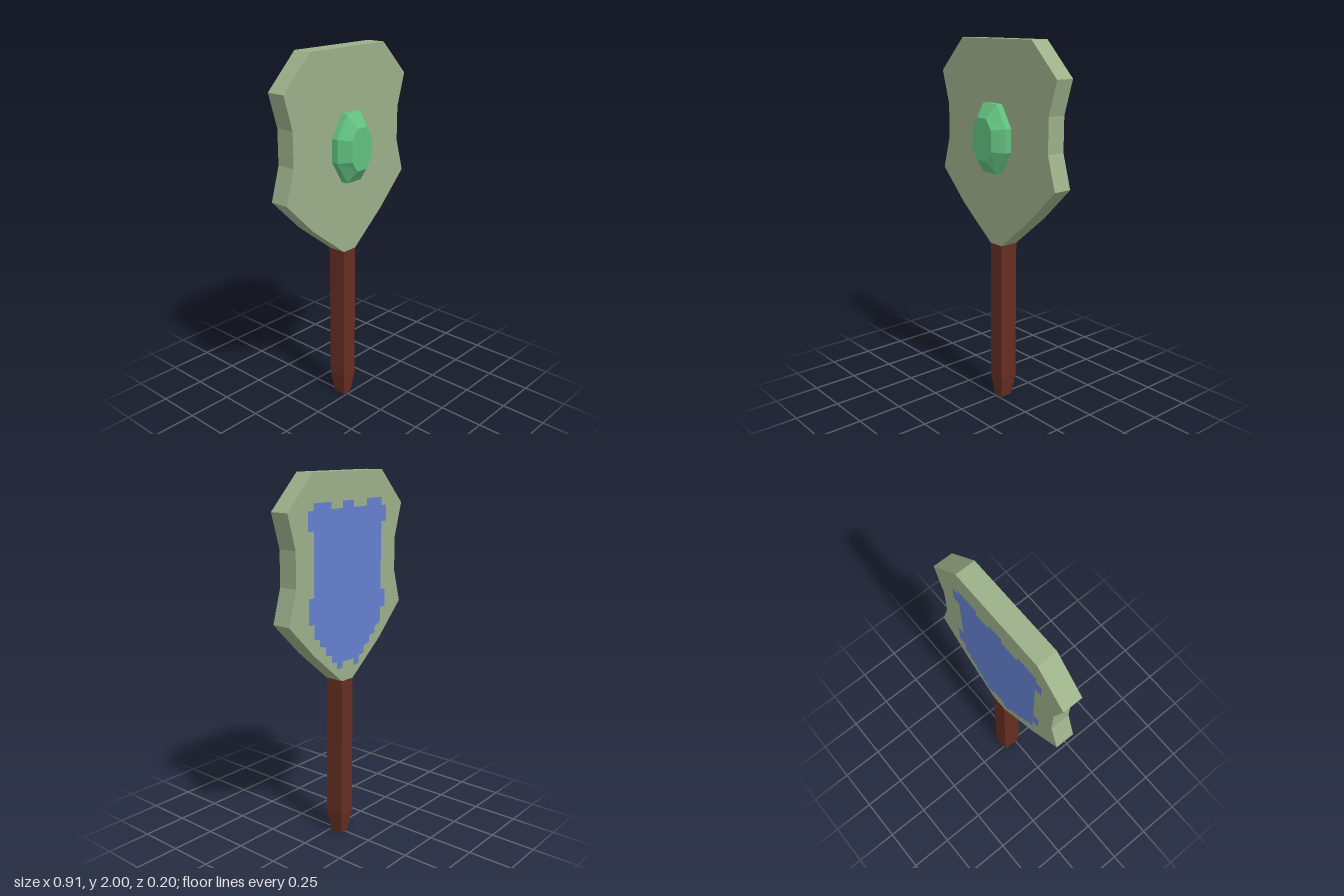
import * as THREE from 'three';

const material = (name, color, extra = {}) => {
  const m = new THREE.MeshStandardMaterial({ color, flatShading: true, ...extra });
  m.name = name;
  return m;
};

// Skin a stack of rings (counter-clockwise seen from the last ring) and cap both ends.
function loft(rings) {
  const n = rings[0].length;
  const index = [];
  for (let r = 0; r < rings.length - 1; r++) {
    for (let i = 0; i < n; i++) {
      const j = (i + 1) % n;
      const a = r * n + i, b = r * n + j;
      index.push(a, b, b + n, a, b + n, a + n);
    }
  }
  const top = (rings.length - 1) * n;
  for (let i = 1; i < n - 1; i++) {
    index.push(0, i + 1, i, top, top + i, top + i + 1);
  }
  const g = new THREE.BufferGeometry();
  g.setAttribute('position', new THREE.Float32BufferAttribute(rings.flat(2), 3));
  g.setIndex(index);
  const flat = g.toNonIndexed();
  flat.computeVertexNormals();
  return flat;
}

const toShape = (pts) => new THREE.Shape(pts.map(([x, y]) => new THREE.Vector2(x, y)));

export function createModel() {
  const group = new THREE.Group();
  const add = (name, geometry, mat) => {
    const mesh = new THREE.Mesh(geometry, mat);
    mesh.name = name;
    group.add(mesh);
  };
  const sage = material('sage frame', 0x9cb08a);
  const wood = material('dark red wood', 0x662e23);
  const emerald = material('emerald', 0x62c080);
  const glass = material('blue glass', 0x6480d0);

  const back = -0.1, front = 0.006;

  // Shield-shaped head
  const side = [[0.272, 2], [0.453, 1.82], [0.4, 1.64], [0.4, 1.455], [0.453, 1.275], [0.272, 1.095]];
  const outline = [
    ...side,
    [0.053, 0.912], [-0.038, 0.912],
    ...side.map(([x, y]) => [-x, y]).reverse(),
  ];
  const head = new THREE.ExtrudeGeometry(toShape(outline), { depth: front - back, bevelEnabled: false });
  head.translate(0, 0, back);
  add('head', head, sage);

  // Square handle with tapered foot
  const square = (y, x0, x1, z0, z1) => [[x1, y, z1], [x1, y, z0], [x0, y, z0], [x0, y, z1]];
  add('handle', loft([
    square(0, -0.021, 0.036, -0.083, -0.011),
    square(0.125, -0.038, 0.053, back, front),
    square(0.912, -0.038, 0.053, back, front),
  ]), wood);

  // Cut gem: straight girdle, then sloping facets to a flat table
  const octagon = (z, xs, xl, ys, yl) => [
    [xl, -ys], [xl, ys], [xs, yl], [-xs, yl], [-xl, ys], [-xl, -ys], [-xs, -yl], [xs, -yl],
  ].map(([x, y]) => [x, y + 1.493, z]);
  add('gem', loft([
    octagon(front - 0.002, 0.053, 0.127, 0.062, 0.182),
    octagon(0.043, 0.053, 0.127, 0.062, 0.182),
    octagon(0.098, 0.035, 0.075, 0.055, 0.111),
  ]), emerald);

  // Stepped mirror pane on the back
  const pane = [
    // upper edge, from +x to -x
    [0.312, 1.82], [0.272, 1.82], [0.272, 1.855], [0.138, 1.855], [0.138, 1.82], [0.05, 1.82],
    [0.05, 1.856], [-0.037, 1.856], [-0.037, 1.82], [-0.144, 1.82], [-0.144, 1.858], [-0.272, 1.858],
    // -x edge
    [-0.272, 1.815], [-0.312, 1.815], [-0.312, 1.73], [-0.272, 1.73],
    [-0.272, 1.362], [-0.312, 1.362], [-0.312, 1.265], [-0.272, 1.265],
    // lower steps
    [-0.272, 1.18], [-0.225, 1.165], [-0.225, 1.13], [-0.178, 1.12], [-0.178, 1.085],
    [-0.13, 1.075], [-0.13, 1.035], [-0.084, 1.025], [-0.084, 0.985], [-0.043, 0.98],
    [-0.043, 1.02], [0.05, 1.02], [0.05, 0.987], [0.097, 0.987], [0.097, 1.027],
    [0.138, 1.03], [0.138, 1.07], [0.185, 1.08], [0.185, 1.125], [0.232, 1.138],
    [0.232, 1.175], [0.272, 1.183],
    // +x edge
    [0.272, 1.26], [0.312, 1.26], [0.312, 1.395], [0.272, 1.395], [0.272, 1.722], [0.312, 1.722],
  ];
  const mirror = new THREE.ShapeGeometry(toShape(pane.map(([x, y]) => [-x, y])));
  mirror.rotateY(Math.PI);
  mirror.translate(0, 0, back - 0.002);
  add('mirror', mirror, glass);

  return group;
}
